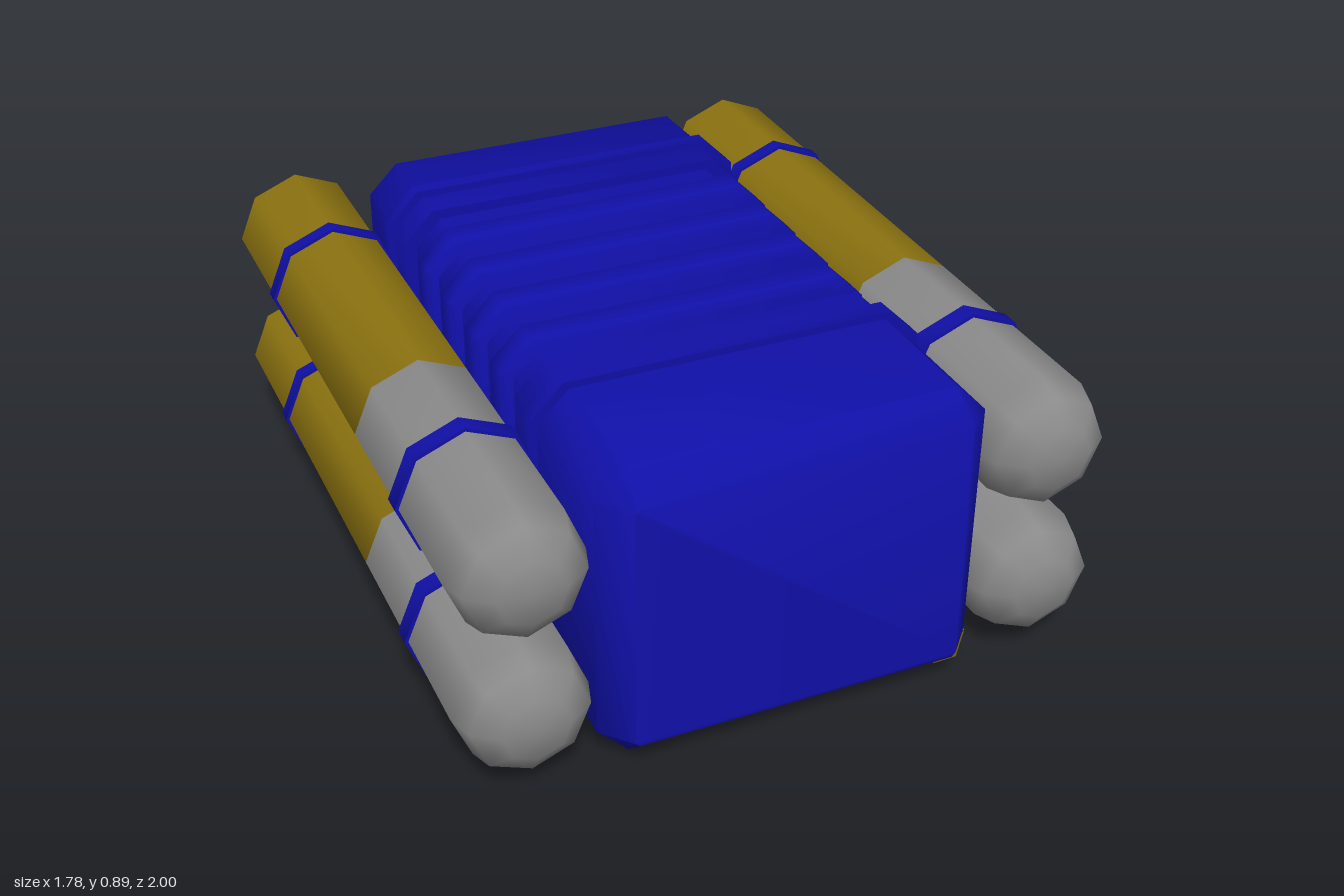
import * as THREE from 'three';
import { toCreasedNormals } from 'three/addons/utils/BufferGeometryUtils.js';

const MID_Y = 0.445;

// Eight corners of a rectangle with cut corners, counter-clockwise
function octagon(w, h, c) {
  return [[w, -h + c], [w, h - c], [w - c, h], [-w + c, h], [-w, h - c], [-w, -h + c], [-w + c, -h], [w - c, -h]];
}

// Skin over octagonal sections [z, halfWidth, halfHeight, cornerCut], from back to front
function loft(sections) {
  const pos = [], idx = [], n = 8;
  for (const [z, w, h, c] of sections) for (const [x, y] of octagon(w, h, c)) pos.push(x, y, z);
  for (let s = 0; s < sections.length - 1; s++) {
    for (let i = 0; i < n; i++) {
      const a = s * n + i, b = s * n + (i + 1) % n;
      idx.push(a, b, b + n, a, b + n, a + n);
    }
  }
  const last = (sections.length - 1) * n;
  for (let i = 1; i < n - 1; i++) {
    idx.push(0, i + 1, i);
    idx.push(last, last + i, last + i + 1);
  }
  const g = new THREE.BufferGeometry();
  g.setAttribute('position', new THREE.Float32BufferAttribute(pos, 3));
  g.setIndex(idx);
  g.computeVertexNormals();
  return toCreasedNormals(g, 1.0);
}

// Eight-sided turned part along z, profile given as [radius, z]
function turned(profile) {
  const g = new THREE.LatheGeometry(profile.map(([r, z]) => new THREE.Vector2(r, z)), 8);
  g.rotateX(Math.PI / 2);
  return toCreasedNormals(g, 1.0);
}

export function createModel() {
  const blue = new THREE.MeshStandardMaterial({ color: 0x1010a8 });
  blue.name = 'blue';
  const gold = new THREE.MeshStandardMaterial({ color: 0x8c7310 });
  gold.name = 'gold';
  const gray = new THREE.MeshStandardMaterial({ color: 0x8a8a8a });
  gray.name = 'gray';

  const model = new THREE.Group();
  const add = (parent, name, geometry, material) => {
    const mesh = new THREE.Mesh(geometry, material);
    mesh.name = name;
    parent.add(mesh);
    return mesh;
  };

  // Central body: two bevelled blocks joined by a ribbed core
  const body = new THREE.Group();
  body.name = 'body';
  body.position.y = MID_Y;
  model.add(body);
  const W = 0.52, H = 0.425, C = 0.085;
  add(body, 'frontBlock', loft([[0.39, W, H, C], [0.91, W, H, C], [0.99, 0.45, 0.35, 0.012]]), blue);
  add(body, 'backBlock', loft([[-0.93, 0.44, 0.35, 0.012], [-0.84, W, H, C], [-0.5, W, H, C]]), blue);
  add(body, 'core', loft([[-0.52, 0.487, 0.397, 0.075], [0.41, 0.487, 0.397, 0.075]]), blue);
  for (let i = 0; i < 4; i++) {
    const z = -0.4 + i * 0.198;
    add(body, 'rib', loft([
      [z, W - 0.015, H - 0.015, C], [z + 0.015, W, H, C],
      [z + 0.082, W, H, C], [z + 0.097, W - 0.015, H - 0.015, C],
    ]), blue);
  }

  // Straps at both ends, around the body and around each tube
  const straps = [[-0.635, -0.593], [0.494, 0.547]];
  for (const [a, b] of straps) add(body, 'bodyStrap', loft([[a, 0.54, 0.445, 0.09], [b, 0.54, 0.445, 0.09]]), blue);

  // Thin facing on the lower left bevel of the front block
  const e = 0.003;
  const strip = new THREE.BufferGeometry();
  strip.setAttribute('position', new THREE.Float32BufferAttribute([
    W + e, -H + C - e, 0.55, W - C + e, -H - e, 0.55, W - C + e, -H - e, 0.91, W + e, -H + C - e, 0.91,
  ], 3));
  strip.setIndex([0, 1, 2, 0, 2, 3]);
  strip.computeVertexNormals();
  add(body, 'bevelFacing', strip, gray);
  const corner = new THREE.BufferGeometry();
  corner.setAttribute('position', new THREE.Float32BufferAttribute([
    W + e, -H + C - e, 0.912, W - C + e, -H - e, 0.912, 0.447 + e, -0.347 - e, 0.992,
  ], 3));
  corner.setIndex([0, 1, 2]);
  corner.computeVertexNormals();
  add(body, 'cornerFacing', corner, gold);

  // Four side tubes with rounded noses and open back ends
  const R = 0.178;
  const barrel = turned([[0.15, -0.97], [0.15, -1], [R, -1], [R, 0.18]]);
  const nose = turned([[R, 0.18], [R, 0.87], [0.155, 0.945], [0.09, 0.99], [0, 1]]);
  const plug = turned([[0, -0.975], [0.152, -0.975]].reverse());
  const rings = straps.map(([a, b]) => turned([[R - 0.01, a], [0.188, a], [0.188, b], [R - 0.01, b]]));
  for (const x of [-0.702, 0.702]) {
    for (const y of [0.235, 0.637]) {
      const tube = new THREE.Group();
      tube.name = (y > 0.4 ? 'upper' : 'lower') + (x > 0 ? 'Left' : 'Right') + 'Tube';
      tube.position.set(x, y, 0);
      add(tube, 'barrel', barrel, gold);
      add(tube, 'nose', nose, gray);
      // the plug faces backwards, out of the open end
      const p = add(tube, 'innerPlug', new THREE.CircleGeometry(0.152, 8), blue);
      p.position.z = -0.975;
      p.rotation.y = Math.PI;
      for (const ring of rings) add(tube, 'tubeStrap', ring, blue);
      model.add(tube);
    }
  }
  plug.dispose();
  return model;
}
